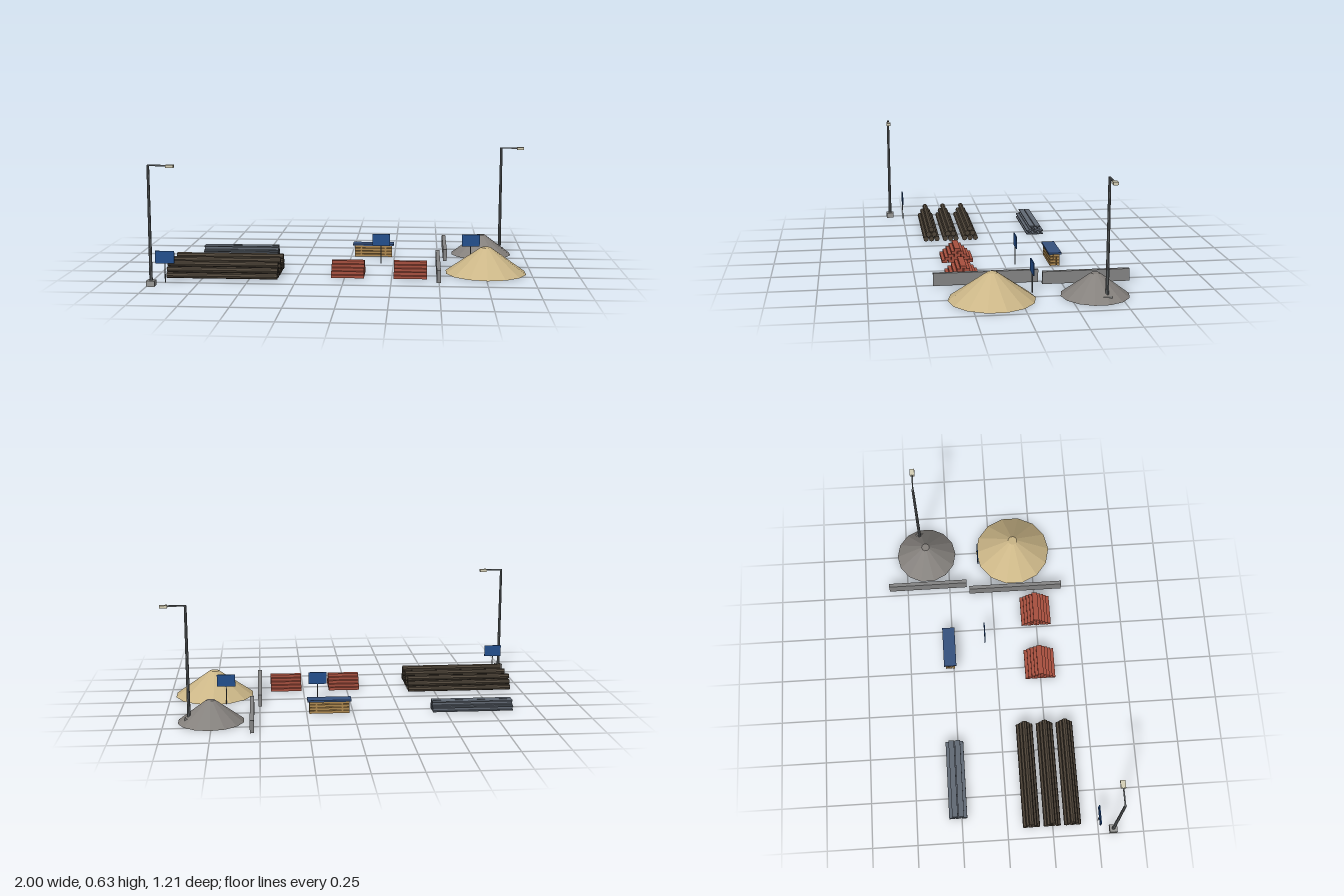
import * as THREE from 'three';

const mat = (color) => new THREE.MeshStandardMaterial({ color, flatShading: true });
const M = {
  bark: mat(0x50463a), brick: mat(0xa8503f), steel: mat(0x626a75), wood: mat(0xb08a50),
  tarp: mat(0x36527f), sign: mat(0x24508f), wall: mat(0x868686), sand: mat(0xcbb687),
  gravel: mat(0x85817d), pole: mat(0x666a6c), base: mat(0x9a9a98), lamp: mat(0xd8d2b8),
};

function add(parent, name, geometry, material, x, y, z) {
  const mesh = new THREE.Mesh(geometry, material);
  mesh.name = name;
  mesh.position.set(x, y, z);
  parent.add(mesh);
  return mesh;
}

function group(parent, name, x, z) {
  const g = new THREE.Group();
  g.name = name;
  g.position.set(x, 0, z);
  parent.add(g);
  return g;
}

// Rows of pieces lying along x, each row one piece shorter than the one below
function pile(parent, name, x, z, geometry, material, { bottom, rows, pitch, rise, y0 }) {
  const g = group(parent, name, x, z);
  for (let r = 0; r < rows; r++) {
    const n = bottom - r;
    for (let i = 0; i < n; i++) {
      add(g, name + 'Piece', geometry, material, 0, y0 + r * rise, (i - (n - 1) / 2) * pitch);
    }
  }
  return g;
}

// I-shaped beam section extruded along x
function beamGeometry(length, w, h, t) {
  const a = w / 2, b = h / 2, c = t / 2;
  const pts = [[-a, -b], [a, -b], [a, -b + t], [c, -b + t], [c, b - t], [a, b - t],
    [a, b], [-a, b], [-a, b - t], [-c, b - t], [-c, -b + t], [-a, -b + t]];
  const shape = new THREE.Shape(pts.map(([x, y]) => new THREE.Vector2(x, y)));
  const geo = new THREE.ExtrudeGeometry(shape, { depth: length, bevelEnabled: false });
  return geo.translate(0, 0, -length / 2).rotateY(Math.PI / 2);
}

function lampPost(parent, x, z) {
  const g = group(parent, 'lampPost', x, z);
  add(g, 'lampBase', new THREE.BoxGeometry(0.043, 0.03, 0.043), M.base, 0, 0.015, 0);
  add(g, 'lampPole', new THREE.CylinderGeometry(0.007, 0.009, 0.595, 8), M.pole, 0, 0.3275, 0);
  add(g, 'lampArm', new THREE.BoxGeometry(0.1, 0.007, 0.007), M.pole, 0.046, 0.623, 0);
  add(g, 'lampHead', new THREE.BoxGeometry(0.04, 0.015, 0.026), M.lamp, 0.111, 0.62, 0);
}

function signBoard(parent, x, z) {
  const g = group(parent, 'signBoard', x, z);
  add(g, 'signPost', new THREE.CylinderGeometry(0.003, 0.003, 0.165, 6), M.pole, 0, 0.0825, 0);
  add(g, 'signPanel', new THREE.BoxGeometry(0.1, 0.066, 0.006), M.sign, 0, 0.135, 0);
}

export function createModel() {
  const model = new THREE.Group();
  model.name = 'materialsYard';

  // Three log stacks
  const log = new THREE.CylinderGeometry(0.0155, 0.0155, 0.59, 8).rotateZ(Math.PI / 2);
  for (const z of [0.132, 0.247, 0.36]) {
    pile(model, 'logStack', -0.645, z, log, M.bark,
      { bottom: 3, rows: 3, pitch: 0.032, rise: 0.0285, y0: 0.0155 });
  }

  // Two stepped brick stacks
  const brick = new THREE.BoxGeometry(0.175, 0.0155, 0.032);
  for (const x of [0.0155, 0.3485]) {
    pile(model, 'brickStack', x, 0.249, brick, M.brick,
      { bottom: 5, rows: 5, pitch: 0.0352, rise: 0.016, y0: 0.008 });
  }

  // Steel beams
  pile(model, 'steelBeams', -0.647, -0.27, beamGeometry(0.437, 0.031, 0.026, 0.006), M.steel,
    { bottom: 3, rows: 2, pitch: 0.0345, rise: 0.0265, y0: 0.013 });

  // Plank pile under a flat cover
  const planks = group(model, 'plankPile', 0.128, -0.27);
  const plank = new THREE.BoxGeometry(0.216, 0.014, 0.0165);
  for (let r = 0; r < 4; r++) {
    for (let i = -1; i <= 1; i++) {
      add(planks, 'plank', plank, M.wood, 0, 0.008 + r * 0.0172, i * 0.0185);
    }
    if (r < 3) {
      for (const x of [-0.07, 0.07]) {
        add(planks, 'spacer', new THREE.BoxGeometry(0.01, 0.0032, 0.05), M.wood, x, 0.0166 + r * 0.0172, 0);
      }
    }
  }
  add(planks, 'cover', new THREE.BoxGeometry(0.236, 0.01, 0.071), M.tarp, 0, 0.071, 0);

  // Low dividing walls
  add(model, 'frontWall', new THREE.BoxGeometry(0.021, 0.066, 0.546), M.wall, 0.498, 0.033, 0.14);
  add(model, 'backWall', new THREE.BoxGeometry(0.021, 0.066, 0.46), M.wall, 0.541, 0.033, -0.378);

  // Loose heaps
  add(model, 'sandHeap', new THREE.CylinderGeometry(0.026, 0.22, 0.138, 14), M.sand, 0.755, 0.069, 0.14);
  add(model, 'gravelHeap', new THREE.CylinderGeometry(0.023, 0.175, 0.114, 14), M.gravel, 0.755, 0.057, -0.38);

  // Lamp posts and signs
  lampPost(model, -0.978, 0.582);
  lampPost(model, 0.867, -0.415);
  signBoard(model, -0.923, 0.503);
  signBoard(model, 0.18, -0.06);
  signBoard(model, 0.683, -0.073);

  return model;
}
